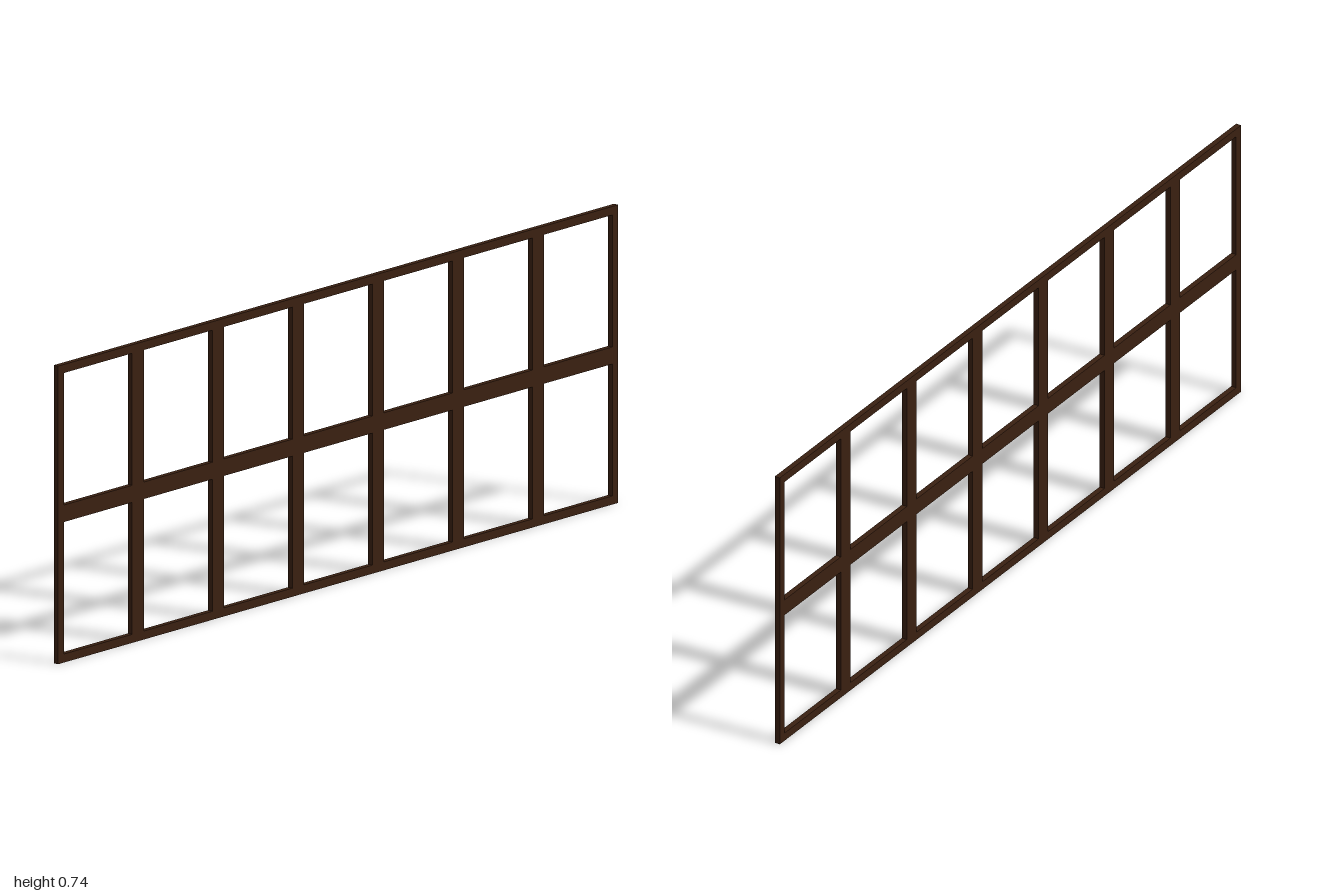
import * as THREE from 'three';

const W = 2, H = 0.738, DEPTH = 0.014; // overall size
const EDGE = 0.021, BAR = 0.042; // outer border and inner bar widths
const COLUMNS = 7;

export function createModel() {
  const group = new THREE.Group();
  group.name = 'windowGrille';
  const wood = new THREE.MeshStandardMaterial({ color: 0x3a2011 });

  const add = (name, geometry, x, y, z = 0) => {
    const mesh = new THREE.Mesh(geometry, wood);
    mesh.name = name;
    mesh.position.set(x, y, z);
    group.add(mesh);
  };

  const rectangle = (target, x, y) =>
    target.moveTo(-x, -y).lineTo(x, -y).lineTo(x, y).lineTo(-x, y).closePath();

  // Outer border: a rectangle with one large opening
  const border = rectangle(new THREE.Shape(), W / 2, H / 2);
  border.holes.push(rectangle(new THREE.Path(), W / 2 - EDGE, H / 2 - EDGE));
  const borderGeometry = new THREE.ExtrudeGeometry(border, { depth: DEPTH, bevelEnabled: false });
  add('outerFrame', borderGeometry, 0, H / 2, -DEPTH / 2);

  // Horizontal bar across the middle
  add('middleRail', new THREE.BoxGeometry(W - 2 * EDGE, BAR, DEPTH), 0, H / 2);

  // Upright bars, butted against the middle rail above and below
  const length = (H - BAR) / 2 - EDGE;
  const upright = new THREE.BoxGeometry(BAR, length, DEPTH);
  for (let i = 1; i < COLUMNS; i++) {
    const x = -W / 2 + (i * W) / COLUMNS;
    add(`lowerUpright${i}`, upright, x, EDGE + length / 2);
    add(`upperUpright${i}`, upright, x, H - EDGE - length / 2);
  }
  return group;
}
